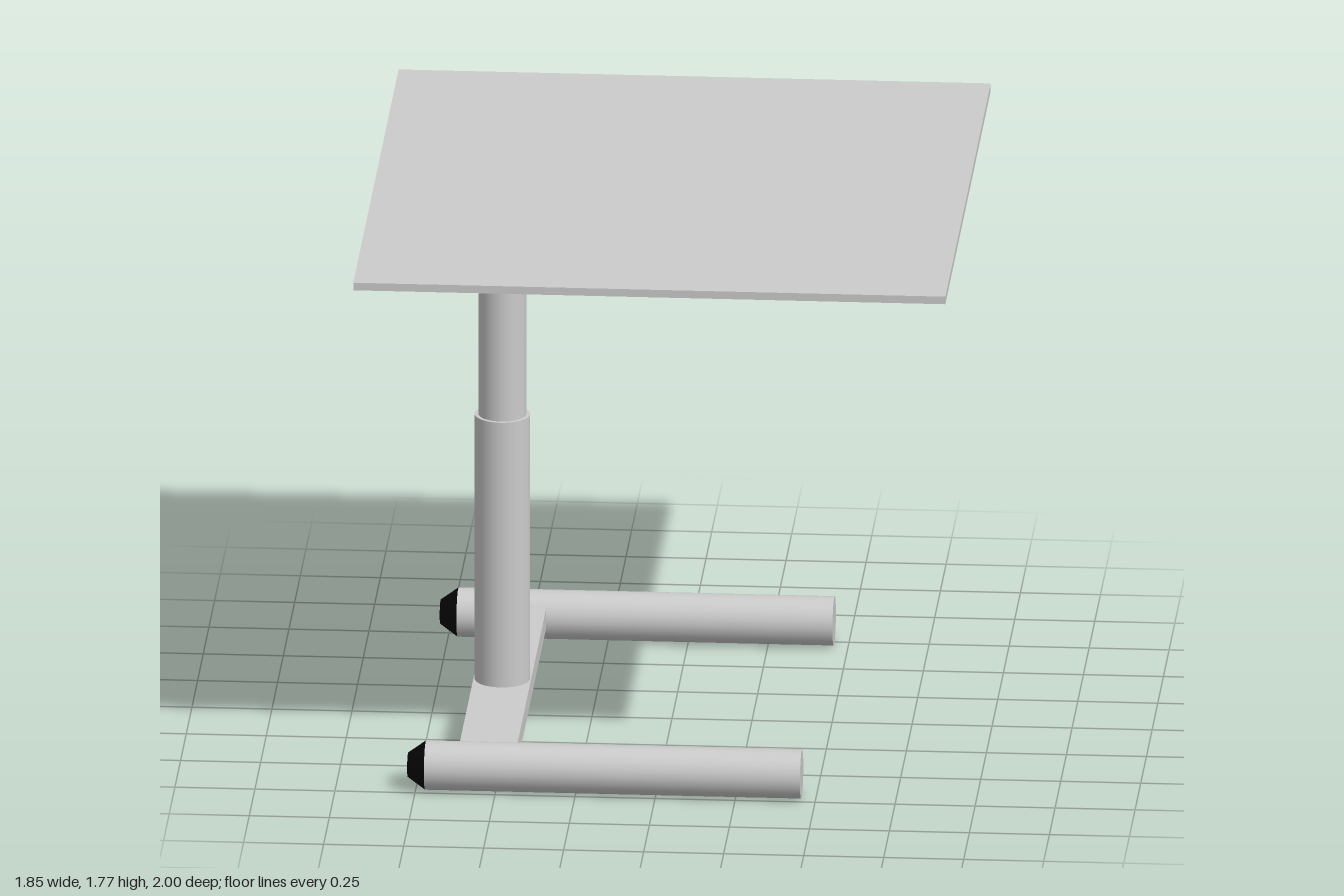
import * as THREE from 'three';

const grey = new THREE.MeshStandardMaterial({ color: 0xcccccc });
const black = new THREE.MeshStandardMaterial({ color: 0x050505 });
const COLUMN_X = -0.53;

export function createModel() {
  const model = new THREE.Group();

  const add = (name, geometry, material = grey) => {
    const mesh = new THREE.Mesh(geometry, material);
    mesh.name = name;
    model.add(mesh);
    return mesh;
  };

  const box = (name, x0, x1, y0, y1, z0, z1) =>
    add(name, new THREE.BoxGeometry(x1 - x0, y1 - y0, z1 - z0))
      .position.set((x0 + x1) / 2, (y0 + y1) / 2, (z0 + z1) / 2);

  // Round bar from point a (radius ra) to point b (radius rb)
  const rod = (name, a, b, ra, rb, sides, material) => {
    const from = new THREE.Vector3(...a);
    const dir = new THREE.Vector3(...b).sub(from);
    const mesh = add(name, new THREE.CylinderGeometry(rb, ra, dir.length(), sides), material);
    mesh.position.copy(from).addScaledVector(dir, 0.5);
    mesh.quaternion.setFromUnitVectors(new THREE.Vector3(0, 1, 0), dir.normalize());
  };

  // Table top
  box('tableTop', -0.925, 0.925, 1.745, 1.77, -1, 1);

  // Telescopic column
  rod('lowerColumn', [COLUMN_X, 0.12, 0], [COLUMN_X, 0.995, 0], 0.087, 0.087, 32);
  rod('upperColumn', [COLUMN_X, 0.99, 0], [COLUMN_X, 1.74, 0], 0.075, 0.075, 32);

  // Base: cross bar and two round feet with tapered black ends
  box('crossBar', COLUMN_X - 0.09, COLUMN_X + 0.09, 0.055, 0.12, -0.675, 0.65);
  for (const [side, z] of [['left', 0.705], ['right', -0.73]]) {
    rod(side + 'Foot', [-0.72, 0.077, z], [0.455, 0.077, z], 0.077, 0.077, 20);
    rod(side + 'FootCap', [-0.72, 0.077, z], [-0.775, 0.077, z], 0.077, 0.038, 20, black);
  }

  // Mounting plate with a tapered rib along its edge
  box('mountingPlate', -0.575, -0.245, 1.737, 1.746, -0.6, 0.6);
  const ribShape = new THREE.Shape([
    [-0.6, 1.74], [-0.2, 1.705], [0.2, 1.705], [0.6, 1.74],
  ].map(([z, y]) => new THREE.Vector2(z, y)));
  const rib = add('supportRib', new THREE.ExtrudeGeometry(ribShape, { depth: 0.015, bevelEnabled: false }));
  rib.rotation.y = -Math.PI / 2;
  rib.position.x = -0.56;

  // Height lever with a black end
  rod('lever', [-0.48, 1.735, 0], [0.09, 1.654, 0], 0.013, 0.013, 12);
  rod('leverEnd', [0.09, 1.654, 0], [0.098, 1.653, 0], 0.014, 0.014, 12, black);

  return model;
}
